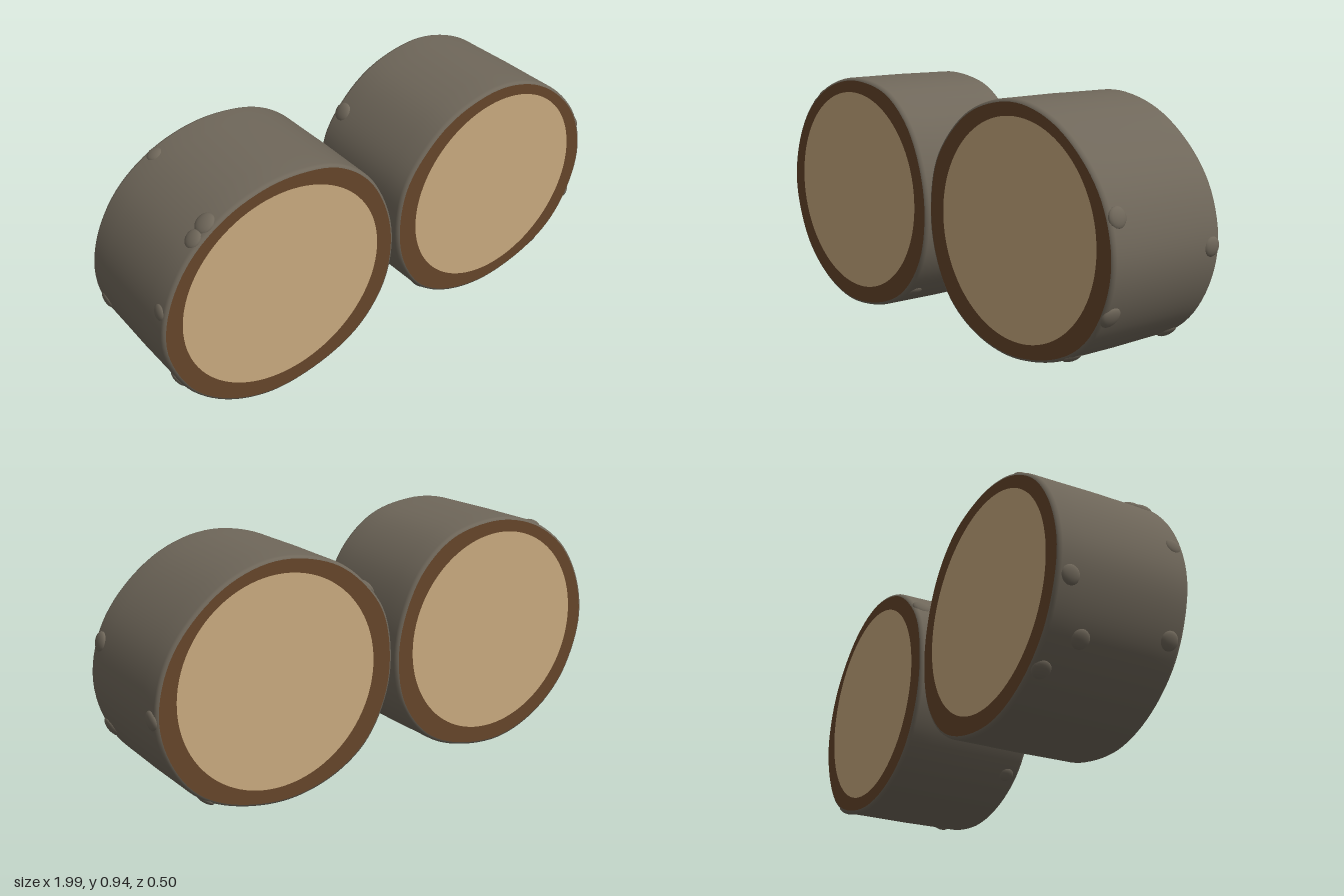
import * as THREE from 'three';

const wood = new THREE.MeshStandardMaterial({ color: 0xc8a97e });
wood.name = 'cut wood';
const inner = new THREE.MeshStandardMaterial({ color: 0x65452a });
inner.name = 'inner bark';
const bark = new THREE.MeshStandardMaterial({ color: 0x6f675a });
bark.name = 'outer bark';

const HALF = 0.25, SEG = 96;

// Each log: uneven outline (clockwise from the top), heartwood ellipse and knots [x, y, z, radius]
const logs = [
  {
    name: 'rightLog', heart: [-0.5, 0.48, 0.415, 0.4],
    outline: [[-0.45, 0.94], [-0.26, 0.9], [-0.12, 0.79], [-0.035, 0.63], [-0.005, 0.455], [-0.04, 0.27],
      [-0.15, 0.12], [-0.31, 0.035], [-0.55, 0.003], [-0.74, 0.06], [-0.89, 0.18], [-0.97, 0.33],
      [-0.995, 0.47], [-0.96, 0.63], [-0.87, 0.775], [-0.74, 0.875], [-0.6, 0.927]],
    knots: [[-0.77, 0.86, 0.205, 0.04], [-0.83, 0.81, 0.21, 0.035], [-0.72, 0.88, -0.215, 0.03],
      [-0.98, 0.58, 0.21, 0.03], [-0.98, 0.36, -0.2, 0.035], [-0.9, 0.2, -0.12, 0.035],
      [-0.8, 0.1, -0.21, 0.035], [-0.93, 0.25, 0.2, 0.035], [-0.15, 0.12, 0.2, 0.03]],
  },
  {
    name: 'leftLog', heart: [0.505, 0.487, 0.405, 0.395],
    outline: [[0.49, 0.942], [0.68, 0.9], [0.84, 0.79], [0.945, 0.65], [0.99, 0.47], [0.96, 0.31],
      [0.87, 0.165], [0.73, 0.075], [0.49, 0.025], [0.28, 0.064], [0.13, 0.16], [0.04, 0.31],
      [0.01, 0.47], [0.04, 0.66], [0.13, 0.79], [0.27, 0.893]],
    knots: [[0.96, 0.61, 0.21, 0.038], [0.95, 0.28, 0.212, 0.04], [0.79, 0.1, 0.215, 0.033],
      [0.76, 0.08, 0.2, 0.03], [0.985, 0.44, -0.212, 0.036], [0.8, 0.11, -0.21, 0.038],
      [0.11, 0.76, -0.21, 0.038], [0.16, 0.14, 0.2, 0.03]],
  },
];

function add(group, name, geometry, material) {
  const mesh = new THREE.Mesh(geometry, material);
  mesh.name = name;
  group.add(mesh);
  return mesh;
}

// Bark wall: the outline swept along z, rounded in at both rims
function wallGeometry(ring, cx, cy) {
  const rows = [[HALF, 0.972], [0.246, 0.988], [0.235, 0.996], [0.15, 0.997], [0, 1],
    [-0.15, 0.997], [-0.235, 0.996], [-0.246, 0.988], [-HALF, 0.972]];
  const pos = [], index = [];
  rows.forEach(([z, s], r) => ring.forEach((p, i) => {
    pos.push(cx + (p.x - cx) * s, cy + (p.y - cy) * s, z);
    if (r === rows.length - 1) return;
    const a = r * SEG + i, b = r * SEG + (i + 1) % SEG;
    index.push(a, a + SEG, b, b, a + SEG, b + SEG);
  }));
  const g = new THREE.BufferGeometry();
  g.setAttribute('position', new THREE.Float32BufferAttribute(pos, 3));
  g.setIndex(index);
  g.computeVertexNormals();
  return g;
}

function makeLog({ name, heart, outline, knots }) {
  const log = new THREE.Group();
  log.name = name;
  const [cx, cy, rx, ry] = heart;
  const curve = new THREE.CatmullRomCurve3(
    outline.map(([x, y]) => new THREE.Vector3(x, y, 0)).reverse(), true);
  const ring = curve.getSpacedPoints(SEG).slice(0, SEG);
  add(log, 'bark', wallGeometry(ring, cx, cy), bark);

  // End faces: brown ring around a pale disc
  const rim = new THREE.Shape(ring.map(p =>
    new THREE.Vector2(cx + (p.x - cx) * 0.972, cy + (p.y - cy) * 0.972)));
  rim.holes.push(new THREE.Path().absellipse(cx, cy, rx, ry, 0, Math.PI * 2, true));
  const disc = new THREE.Shape().absellipse(cx, cy, rx, ry, 0, Math.PI * 2, false);
  for (const [side, sign] of [['front', 1], ['back', -1]]) {
    for (const [part, shape, mat] of [['InnerBark', rim, inner], ['CutWood', disc, wood]]) {
      const g = new THREE.ShapeGeometry(shape, 48);
      if (sign < 0) g.translate(-cx, 0, 0).rotateY(Math.PI).translate(cx, 0, 0);
      // Mirror the turned face back so it fits the uneven outline
      if (sign < 0) {
        const p = g.attributes.position, ix = g.index.array;
        for (let i = 0; i < p.count; i++) p.setX(i, 2 * cx - p.getX(i));
        for (let i = 0; i < ix.length; i += 3) [ix[i], ix[i + 1]] = [ix[i + 1], ix[i]];
        g.computeVertexNormals();
      }
      add(log, side + part, g, mat).position.z = sign * HALF;
    }
  }

  // Flattened knots half sunk into the bark
  for (const [x, y, z, r] of knots) {
    const near = ring.reduce((a, b) =>
      Math.hypot(b.x - x, b.y - y) < Math.hypot(a.x - x, a.y - y) ? b : a);
    const knot = add(log, 'knot', new THREE.SphereGeometry(r, 16, 10), bark);
    const angle = Math.atan2(near.y - cy, near.x - cx);
    knot.position.set(near.x - Math.cos(angle) * 0.006, near.y - Math.sin(angle) * 0.006, z);
    knot.rotation.z = angle;
    knot.scale.set(0.42, 1, 1);
  }
  return log;
}

export function createModel() {
  const model = new THREE.Group();
  model.name = 'logSlices';
  logs.forEach(l => model.add(makeLog(l)));
  return model;
}
